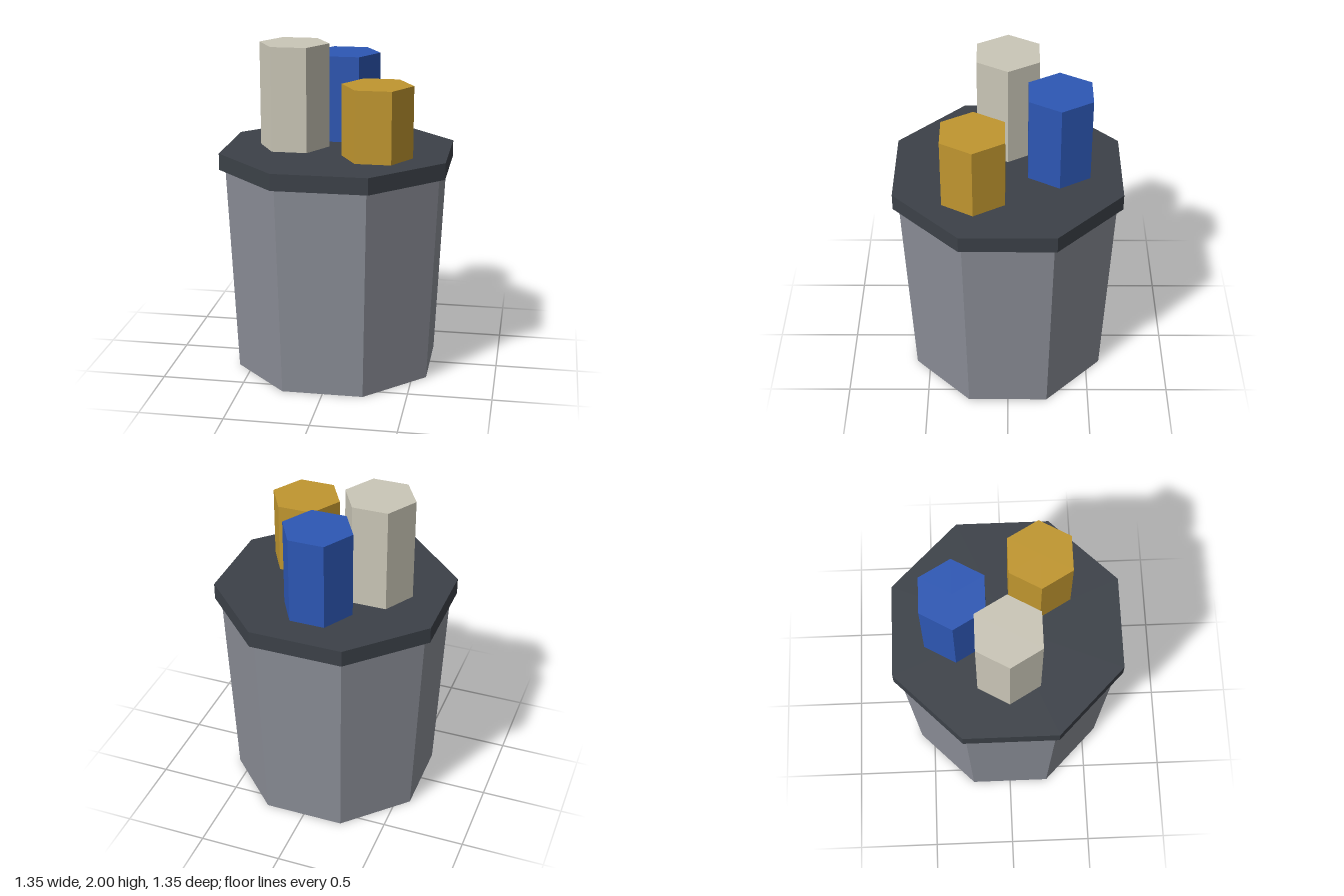
import * as THREE from 'three';

const material = (name, color) => {
  const m = new THREE.MeshStandardMaterial({ color, flatShading: true });
  m.name = name;
  return m;
};

// Upright prism between two heights, turned so flat sides face front and back
function prism(name, sides, topRadius, bottomRadius, y0, y1, mat, x = 0, z = 0) {
  const geometry = new THREE.CylinderGeometry(topRadius, bottomRadius, y1 - y0, sides);
  geometry.rotateY(Math.PI / sides);
  const mesh = new THREE.Mesh(geometry, mat);
  mesh.name = name;
  mesh.position.set(x, (y0 + y1) / 2, z);
  return mesh;
}

export function createModel() {
  const model = new THREE.Group();
  model.name = 'canisterWithColumns';

  const grey = material('body grey', 0x8a8d96);
  const dark = material('lid charcoal', 0x3c4148);
  const cream = material('cream', 0xcac6b7);
  const blue = material('blue', 0x2d57b4);
  const gold = material('gold', 0xc0962f);

  // Octagon radius from the distance to its flat side
  const octagon = (flat) => flat / Math.cos(Math.PI / 8);

  // Tapered body and overhanging lid
  model.add(prism('body', 8, octagon(0.64), octagon(0.585), 0, 1.27, grey));
  model.add(prism('lid', 8, octagon(0.675), octagon(0.675), 1.27, 1.37, dark));

  // Hexagonal columns standing on the lid
  const columns = [
    ['creamColumn', 2.0, cream, -0.267, 0],
    ['blueColumn', 1.9, blue, 0, -0.303],
    ['goldColumn', 1.8, gold, 0.265, 0.2],
  ];
  for (const [name, top, mat, x, z] of columns) {
    model.add(prism(name, 6, 0.2125, 0.2125, 1.36, top, mat, x, z));
  }

  return model;
}
